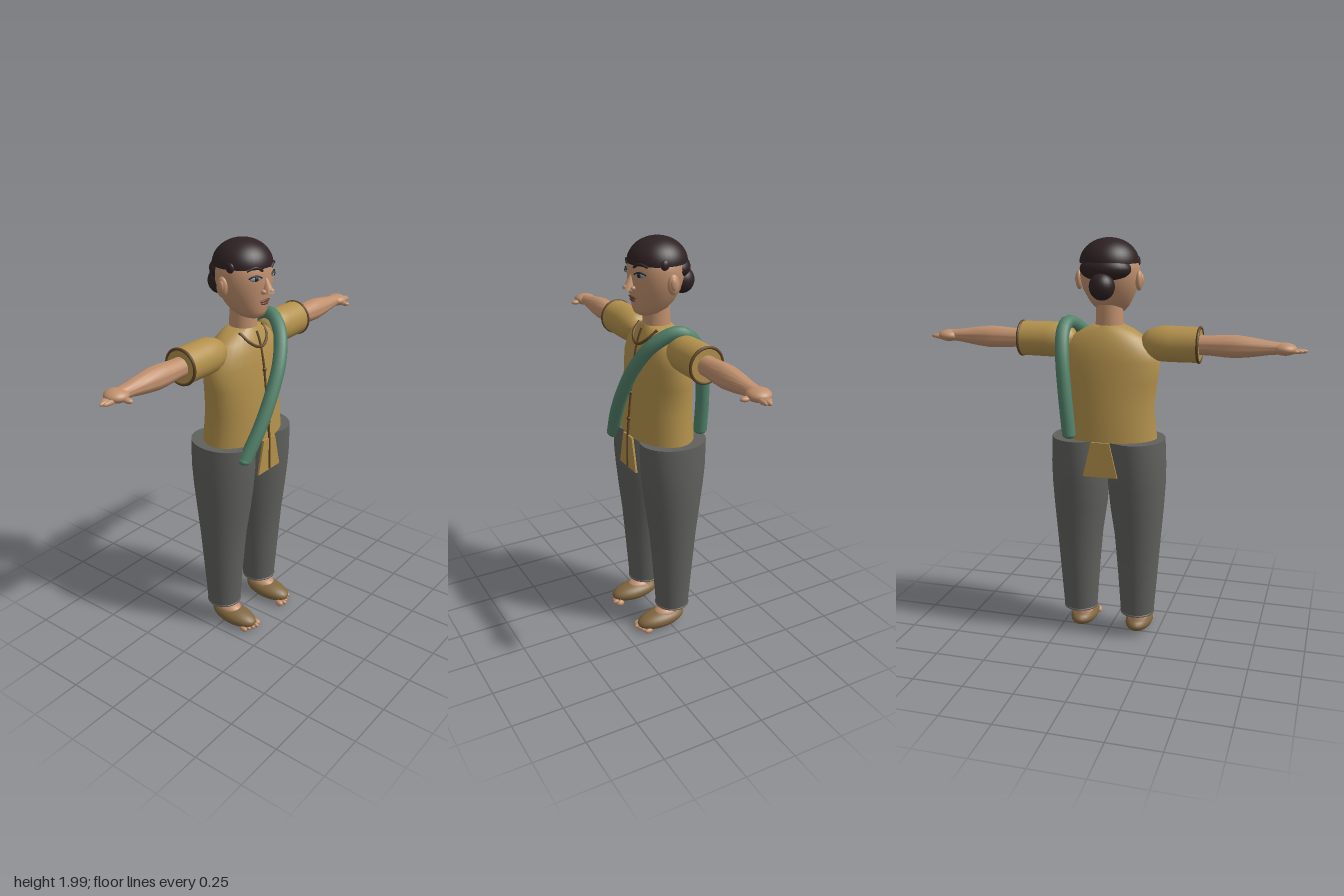
import * as THREE from 'three';
import { toCreasedNormals } from 'three/addons/utils/BufferGeometryUtils.js';

const colours = {
  skin: 0xc0906e, shirt: 0xb3914c, trousers: 0x60615d, sash: 0x52826a, hair: 0x2e2123,
  shoe: 0x80663f, trim: 0x5f4426, lips: 0x6e4234, eyeWhite: 0x8f9698, pupil: 0x25282c,
};

export function createModel() {
  const model = new THREE.Group();
  const mats = {};
  for (const [name, hex] of Object.entries(colours)) {
    mats[name] = new THREE.MeshStandardMaterial({ color: hex });
    mats[name].name = name;
  }

  function add(name, geo, mat, x = 0, y = 0, z = 0) {
    const mesh = new THREE.Mesh(geo, mats[mat]);
    mesh.name = name;
    mesh.position.set(x, y, z);
    model.add(mesh);
    return mesh;
  }
  function ball(name, mat, x, y, z, rx, ry, rz) {
    return add(name, new THREE.SphereGeometry(1, 24, 16).scale(rx, ry, rz), mat, x, y, z);
  }
  function tube(name, mat, pts, r, segs = 32) {
    const curve = new THREE.CatmullRomCurve3(pts.map((p) => new THREE.Vector3(...p)));
    return add(name, new THREE.TubeGeometry(curve, segs, r, 12), mat);
  }

  // Closed body from elliptical sections [y, rx, rz, cx, cz], listed upwards
  function loft(rows, sides = 36) {
    const first = rows[0], last = rows[rows.length - 1];
    const close = ([y, , , cx = 0, cz = 0]) => [y, 0, 0, cx, cz];
    const all = [close(first), ...rows, close(last)];
    const pos = [], index = [];
    all.forEach(([y, rx, rz, cx = 0, cz = 0], i) => {
      for (let j = 0; j < sides; j++) {
        const a = (j / sides) * Math.PI * 2;
        pos.push(cx + rx * Math.cos(a), y, cz + rz * Math.sin(a));
        if (i === all.length - 1) continue;
        const p = i * sides + j, q = i * sides + ((j + 1) % sides);
        if (i < all.length - 2) index.push(p, p + sides, q + sides);
        if (i > 0) index.push(p, q + sides, q);
      }
    });
    const geo = new THREE.BufferGeometry();
    geo.setAttribute('position', new THREE.Float32BufferAttribute(pos, 3));
    geo.setIndex(index);
    return toCreasedNormals(geo, 0.8);
  }

  // Shirt body
  add('shirtBody', loft([
    [1.05, 0.238, 0.155, 0, -0.012], [1.2, 0.222, 0.148, 0, -0.012], [1.33, 0.237, 0.136, 0, -0.014],
    [1.43, 0.25, 0.126, 0, -0.016], [1.49, 0.222, 0.116, 0, -0.016], [1.54, 0.18, 0.1, 0, -0.015],
    [1.575, 0.125, 0.083, 0, -0.012], [1.597, 0.075, 0.068, 0, -0.008],
  ]), 'shirt');

  // Shirt tails, front and back
  const tail = new THREE.Shape([[-0.045, 1.055], [-0.085, 0.885], [0.085, 0.885], [0.045, 1.055]]
    .map((p) => new THREE.Vector2(...p)));
  const tailGeo = new THREE.ExtrudeGeometry(tail, { depth: 0.01, bevelEnabled: false });
  add('frontShirtTail', tailGeo, 'shirt', 0, 0, 0.142);
  add('backShirtTail', tailGeo, 'shirt', 0, 0, -0.187);

  // Collar, front seam and buttons
  tube('collar', 'trim', [[-0.088, 1.587, 0.035], [-0.07, 1.548, 0.076], [-0.035, 1.52, 0.094],
    [0, 1.511, 0.099], [0.035, 1.52, 0.094], [0.07, 1.548, 0.076], [0.088, 1.587, 0.035]], 0.007);
  tube('frontSeam', 'trim', [[0, 1.58, 0.07], [0, 1.54, 0.086], [0, 1.43, 0.111], [0, 1.33, 0.123],
    [0, 1.2, 0.137], [0, 1.05, 0.15], [0, 0.89, 0.153]], 0.006, 40);
  for (const [y, z] of [[1.4, 0.118], [1.27, 0.131], [1.14, 0.144]]) {
    ball('button', 'trim', 0, y, z, 0.011, 0.011, 0.009);
  }

  // Sash over the left shoulder
  tube('sash', 'sash', [[-0.18, 1.0, 0.14], [-0.09, 1.15, 0.162], [0, 1.3, 0.164], [0.08, 1.43, 0.146],
    [0.155, 1.545, 0.09], [0.205, 1.6, 0], [0.212, 1.57, -0.07], [0.2, 1.46, -0.13],
    [0.18, 1.28, -0.158], [0.16, 1.08, -0.162]], 0.033, 48);
  for (const [x, y, z] of [[-0.18, 1.0, 0.14], [0.16, 1.08, -0.162]]) {
    ball('sashEnd', 'sash', x, y, z, 0.032, 0.02, 0.032);
  }

  // Neck and head
  add('neck', new THREE.CylinderGeometry(0.062, 0.068, 0.17, 28), 'skin', 0, 1.635, -0.008);
  add('head', loft([
    [1.647, 0.035, 0.035, 0, 0.05], [1.658, 0.062, 0.06, 0, 0.042], [1.68, 0.084, 0.084, 0, 0.026],
    [1.71, 0.103, 0.1, 0, 0.014], [1.76, 0.128, 0.118, 0, 0.003], [1.81, 0.14, 0.127, 0, -0.002],
    [1.86, 0.143, 0.131, 0, -0.005], [1.91, 0.132, 0.124, 0, -0.008], [1.95, 0.1, 0.1, 0, -0.01],
  ]), 'skin');

  // Nose
  const nose = new THREE.ConeGeometry(0.036, 0.1, 20).scale(0.75, 1, 1);
  nose.rotateX(-0.2);
  add('nose', nose, 'skin', 0, 1.818, 0.12);
  ball('noseTip', 'skin', 0, 1.783, 0.143, 0.016, 0.014, 0.022);
  for (const s of [-1, 1]) ball('nostril', 'skin', s * 0.021, 1.779, 0.122, 0.014, 0.012, 0.016);

  // Mouth
  ball('upperLip', 'lips', 0, 1.733, 0.116, 0.035, 0.007, 0.009);
  ball('lowerLip', 'lips', 0, 1.721, 0.115, 0.026, 0.008, 0.009);

  // Eyes, brows, ears and sideburns
  for (const s of [-1, 1]) {
    ball('eye', 'eyeWhite', s * 0.067, 1.845, 0.111, 0.028, 0.012, 0.008).rotation.y = s * 0.45;
    ball('iris', 'pupil', s * 0.067, 1.845, 0.116, 0.011, 0.011, 0.006).rotation.y = s * 0.45;
    tube('eyelid', 'pupil', [[s * 0.036, 1.846, 0.124], [s * 0.066, 1.858, 0.116], [s * 0.097, 1.848, 0.095]], 0.004, 12);
    tube('eyebrow', 'hair', [[s * 0.03, 1.877, 0.124], [s * 0.066, 1.895, 0.113], [s * 0.103, 1.883, 0.089]], 0.006, 12);
    ball('ear', 'skin', s * 0.145, 1.805, -0.015, 0.018, 0.047, 0.029);
    ball('earHollow', 'skin', s * 0.155, 1.808, -0.012, 0.012, 0.03, 0.017);
    ball('sideburn', 'hair', s * 0.128, 1.89, 0.018, 0.014, 0.026, 0.022);
  }

  // Hair cap, back hair and bun
  const cap = new THREE.SphereGeometry(1, 36, 14, 0, Math.PI * 2, 0, Math.PI / 2).scale(0.14, 0.115, 0.14);
  add('hairCap', cap, 'hair', 0, 1.885, -0.012);
  add('hairCapUnderside', new THREE.CircleGeometry(1, 36).rotateX(Math.PI / 2).scale(0.14, 1, 0.14), 'hair', 0, 1.885, -0.012);
  ball('backHair', 'hair', 0, 1.86, -0.078, 0.122, 0.062, 0.085);
  ball('bun', 'hair', 0, 1.784, -0.142, 0.06, 0.063, 0.06);

  // Arms, legs and feet on both sides
  for (const s of [-1, 1]) {
    const armY = 1.515, armZ = -0.016;
    const side = (geo) => geo.rotateZ(-s * Math.PI / 2);
    add('sleeve', side(loft([[0.165, 0.035, 0.035], [0.18, 0.055, 0.055], [0.205, 0.07, 0.068],
      [0.25, 0.083, 0.082], [0.3, 0.085, 0.083], [0.44, 0.083, 0.082]])), 'shirt', 0, armY, armZ);
    add('cuff', new THREE.TorusGeometry(0.081, 0.007, 10, 36).rotateY(Math.PI / 2), 'trim', s * 0.437, armY, armZ);
    add('arm', side(loft([[0.4, 0.046, 0.046], [0.48, 0.046, 0.047], [0.56, 0.052, 0.052], [0.61, 0.053, 0.052],
      [0.68, 0.045, 0.046], [0.76, 0.032, 0.036], [0.82, 0.026, 0.034]])), 'skin', 0, armY, armZ);
    ball('hand', 'skin', s * 0.828, 1.513, -0.018, 0.055, 0.029, 0.054);
    for (let i = 0; i < 4; i++) {
      const reach = [0.895, 0.905, 0.89, 0.87][i];
      ball('finger', 'skin', s * (reach - 0.01), 1.505, 0.004 - i * 0.013, 0.035, 0.011, 0.01);
    }
    ball('longFinger', 'skin', s * 0.895, 1.506, -0.01, 0.036, 0.011, 0.011);
    ball('thumb', 'skin', s * 0.823, 1.503, 0.04, 0.016, 0.012, 0.026);

    add('trouserLeg', loft([
      [0.13, 0.084, 0.083, s * 0.15, -0.018], [0.35, 0.1, 0.1, s * 0.151, -0.018],
      [0.55, 0.116, 0.117, s * 0.15, -0.018], [0.7, 0.133, 0.137, s * 0.145, -0.018],
      [0.82, 0.142, 0.152, s * 0.143, -0.019], [0.92, 0.144, 0.162, s * 0.142, -0.02],
      [1.05, 0.14, 0.166, s * 0.14, -0.021],
    ]), 'trousers');
    add('trouserHem', new THREE.TorusGeometry(0.081, 0.006, 8, 36).rotateX(Math.PI / 2), 'trousers', s * 0.15, 0.135, -0.018);

    const footX = s * 0.147;
    add('ankle', new THREE.CylinderGeometry(0.042, 0.046, 0.12, 24), 'skin', footX, 0.11, -0.015);
    ball('instep', 'skin', footX, 0.083, 0.015, 0.05, 0.036, 0.07);
    const shoe = ball('shoe', 'shoe', footX, 0.056, 0.046, 0.067, 0.046, 0.132);
    shoe.rotation.x = 0.06;
    for (let i = 0; i < 5; i++) {
      const off = (i - 2) * 0.022;
      const big = i === 0 ? 0.004 : 0;
      ball('toe', 'skin', footX + s * off, 0.025, 0.166 - Math.abs(i - 1) * 0.009, 0.012 + big, 0.013 + big, 0.022);
    }
  }
  return model;
}
